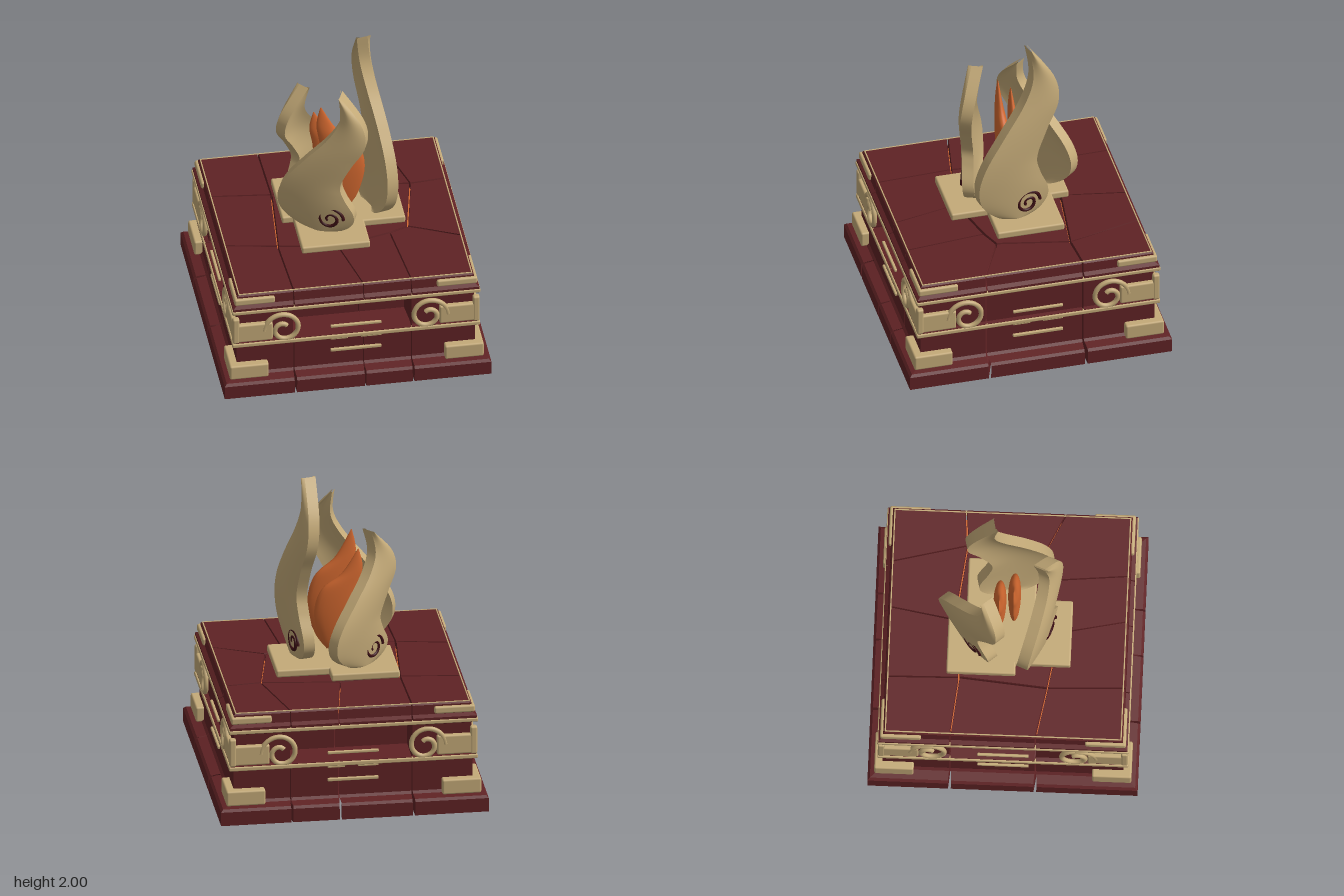
import * as THREE from 'three';
import { RoundedBoxGeometry } from 'three/addons/geometries/RoundedBoxGeometry.js';
import { ParametricGeometry } from 'three/addons/geometries/ParametricGeometry.js';

const mat = (name, color) => {
  const m = new THREE.MeshStandardMaterial({ color });
  m.name = name;
  return m;
};
const maroon = mat('maroon stone', 0x5f2224);
const tan = mat('sandstone', 0xc4aa78);
const orange = mat('ember orange', 0xd0672f);
const dark = mat('dark maroon', 0x3d0f14);

function add(parent, name, geometry, material) {
  const mesh = new THREE.Mesh(geometry, material);
  mesh.name = name;
  parent.add(mesh);
  return mesh;
}

// Rounded box given by its limits
function block(parent, name, x0, x1, y0, y1, z0, z1, material = tan, r = 0.012) {
  const g = new RoundedBoxGeometry(x1 - x0, y1 - y0, z1 - z0, 2, r);
  g.translate((x0 + x1) / 2, (y0 + y1) / 2, (z0 + z1) / 2);
  return add(parent, name, g, material);
}

// Flat spiral tube in the xy plane; side -1 mirrors it
function spiral(cx, cy, z, r0, r1, turns, tube, side = 1) {
  const pts = [];
  for (let i = 0; i <= 32; i++) {
    const t = i / 32, a = t * turns * Math.PI * 2, r = r0 + (r1 - r0) * t;
    pts.push(new THREE.Vector3(side * (cx + r * Math.cos(a)), cy + r * Math.sin(a), z));
  }
  return new THREE.TubeGeometry(new THREE.CatmullRomCurve3(pts), 64, tube, 8);
}

// Pedestal silhouette: height, half width, joint inset
const profile = [
  [0, 0.84, 0.012], [0.09, 0.84, 0.014], [0.105, 0.825, 0.014], [0.115, 0.765, 0.008],
  [0.13, 0.75, 0.006], [0.33, 0.75, 0.006], [0.335, 0.77, 0.006], [0.365, 0.77, 0.006],
  [0.37, 0.745, 0.006], [0.57, 0.745, 0.006], [0.585, 0.77, 0.006], [0.61, 0.775, 0.006],
  [0.625, 0.775, 0.008], [0.64, 0.75, 0.006], [0.70, 0.745, 0.006], [0.71, 0.735, 0.009],
];

// One cracked stone: its plan polygon clamped to the silhouette at each height
function stoneGeometry(plan, recessed) {
  const n = plan.length, pos = [], idx = [];
  const cx = plan.reduce((s, p) => s + p[0], 0) / n;
  const cz = plan.reduce((s, p) => s + p[1], 0) / n;
  for (const [y, w0, gap] of profile) {
    const w = recessed && y > 0.366 && y < 0.58 ? 0.56 : w0;
    for (const [x, z] of plan) {
      const k = gap / Math.hypot(cx - x, cz - z);
      pos.push(THREE.MathUtils.clamp(x + (cx - x) * k, -w, w), y,
        THREE.MathUtils.clamp(z + (cz - z) * k, -w, w));
    }
  }
  const top = (profile.length - 1) * n;
  for (let k = 0; k < top; k += n) {
    for (let i = 0; i < n; i++) {
      const j = (i + 1) % n;
      idx.push(k + i, k + n + i, k + n + j, k + i, k + n + j, k + j);
    }
  }
  for (let i = 1; i < n - 1; i++) idx.push(top, top + i + 1, top + i, 0, i, i + 1);
  const g = new THREE.BufferGeometry();
  g.setAttribute('position', new THREE.Float32BufferAttribute(pos, 3));
  g.setIndex(idx);
  const flat = g.toNonIndexed();
  flat.computeVertexNormals();
  return flat;
}

function buildPedestal() {
  const g = new THREE.Group();
  g.name = 'pedestal';
  const a = [-0.36, -0.29], b = [0.02, -0.33], c = [0.51, -0.27], d = [0.42, 0.18];
  const e = [0.3, 0.23], f = [-0.04, 0.32], h = [-0.41, 0.26];
  const plans = [
    [[a, b, c, d, e, f, h], false],
    [[[-1, -1], [-0.37, -1], a, [-1, -0.33]], false],
    [[[-0.37, -1], [0.09, -1], b, a], true],
    [[[0.09, -1], [0.39, -1], c, b], true],
    [[[0.39, -1], [1, -1], [1, -0.29], c], false],
    [[[1, -0.29], [1, 0.33], d, c], false],
    [[[1, 0.33], [1, 1], [0.35, 1], e, d], false],
    [[[0.35, 1], [0.05, 1], f, e], true],
    [[[0.05, 1], [-0.39, 1], h, f], true],
    [[[-0.39, 1], [-1, 1], [-1, 0.2], h], false],
    [[[-1, 0.2], [-1, -0.33], a, h], true],
  ];
  plans.forEach(([plan, recessed]) => add(g, 'crackedStone', stoneGeometry(plan, recessed), maroon));

  // Trim and ornaments, repeated on the four sides
  for (let s = 0; s < 4; s++) {
    const side = new THREE.Group();
    side.name = 'sideOrnament';
    side.rotation.y = s * Math.PI / 2;
    g.add(side);
    block(side, 'lowerTrim', -0.78, 0.78, 0.337, 0.363, 0.75, 0.78, tan, 0.006);
    block(side, 'upperTrim', -0.78, 0.78, 0.585, 0.609, 0.75, 0.782, tan, 0.006);
    block(side, 'topEdgeTrim', -0.735, 0.735, 0.704, 0.713, 0.729, 0.737, tan, 0.002);
    block(side, 'upperBar', -0.16, 0.16, 0.412, 0.43, 0.75, 0.768, tan, 0.005);
    block(side, 'lowerBar', -0.16, 0.16, 0.228, 0.248, 0.74, 0.765, tan, 0.005);
    block(side, 'shortBar', -0.16, -0.05, 0.32, 0.334, 0.74, 0.765, tan, 0.004);
    block(side, 'shortBar', 0.03, 0.16, 0.32, 0.334, 0.74, 0.765, tan, 0.004);
    for (const m of [-1, 1]) {
      const corner = (name, x0, x1, y0, y1, z0, z1) =>
        block(side, name, Math.min(m * x0, m * x1), Math.max(m * x0, m * x1), y0, y1, z0, z1);
      corner('footCorner', 0.555, 0.80, 0.11, 0.21, 0.73, 0.80);
      corner('friezeCorner', 0.525, 0.775, 0.37, 0.5, 0.72, 0.775);
      corner('friezePost', 0.735, 0.778, 0.365, 0.55, 0.735, 0.778);
      corner('topCorner', 0.51, 0.765, 0.643, 0.69, 0.72, 0.765);
      add(side, 'scroll', spiral(0.455, 0.44, 0.763, 0.125, 0.03, 1.35, 0.016, m), tan);
    }
  }
  // Glowing layer seen through the cracks
  block(g, 'emberLayer', -0.7, 0.7, 0.655, 0.662, -0.7, 0.7, orange, 0.002);
  return g;
}

const curve = (pts) => new THREE.SplineCurve(pts.map(([x, y]) => new THREE.Vector2(x, y)));

// Petal outline: left and right edges from base to tip
const petalL = curve([[-0.02, 0], [-0.14, 0.03], [-0.26, 0.13], [-0.29, 0.25], [-0.24, 0.38],
  [-0.12, 0.53], [0.03, 0.70], [0.10, 0.84], [0.085, 1]]);
const petalR = curve([[-0.02, 0], [0.1, 0.01], [0.18, 0.07], [0.19, 0.15], [0.13, 0.27],
  [0.11, 0.37], [0.18, 0.52], [0.265, 0.67], [0.24, 0.82], [0.095, 1]]);

// Curved stone petal with a domed face, hollow back and a spiral carving
function buildPetal(height) {
  const g = new THREE.Group();
  g.name = 'flamePetal';
  const surface = (fs, fn) => (u, v, target) => {
    const s = fs(u), p = petalL.getPoint(v).lerp(petalR.getPoint(v), (s + 1) / 2);
    const bow = 0.045 * Math.sin(Math.PI * p.y) - 0.03 * p.y;
    target.set(p.x, p.y * height, fn(u) + 0.022 * (1 - s * s) + bow);
  };
  const T = 0.036;
  const strips = [
    ['petalFace', (u) => 2 * u - 1, () => T, 10],
    ['petalBack', (u) => 1 - 2 * u, () => -T, 10],
    ['petalRightEdge', () => 1, (u) => T - 2 * T * u, 1],
    ['petalLeftEdge', () => -1, (u) => -T + 2 * T * u, 1],
  ];
  for (const [name, fs, fn, n] of strips) {
    const geo = new ParametricGeometry(surface(fs, fn), n, 56);
    geo.computeVertexNormals();
    add(g, name, geo, tan);
  }
  add(g, 'spiralCarving', spiral(0.045, 0.115, 0.062, 0.085, 0.018, 1.6, 0.011), dark);
  return g;
}

// Lens-shaped inner flame
const emberL = curve([[0.05, 0], [-0.06, 0.17], [-0.1, 0.34], [-0.11, 0.52], [-0.13, 0.67], [-0.105, 0.8]]);
const emberR = curve([[0.05, 0], [0.13, 0.12], [0.175, 0.32], [0.13, 0.5], [0, 0.62], [-0.1, 0.8]]);
function emberGeometry() {
  const g = new ParametricGeometry((u, v, target) => {
    const a = u * Math.PI * 2, s = (1 - Math.cos(a)) / 2;
    const p = emberL.getPoint(v).lerp(emberR.getPoint(v), s);
    target.set(p.x, p.y, 0.04 * Math.sin(a) * Math.sin(Math.PI * Math.pow(v, 0.9)));
  }, 20, 32);
  g.computeVertexNormals();
  return g;
}

export function createModel() {
  const model = new THREE.Group();
  model.name = 'flameMonument';
  model.add(buildPedestal());

  // Three overlapping slabs under the petals
  for (const [x, z] of [[-0.135, -0.155], [0.195, -0.045], [-0.065, 0.185]]) {
    block(model, 'petalSlab', x - 0.215, x + 0.215, 0.73, 0.78, z - 0.215, z + 0.215);
  }

  // Petals: x, z, height, direction the face looks
  for (const [x, z, height, nx, nz] of [
    [-0.10, 0.19, 1.01, -0.37, 0.93],
    [0.225, 0, 1.23, 0.97, -0.22],
    [-0.13, -0.2, 0.87, -0.65, -0.76],
  ]) {
    const petal = buildPetal(height);
    petal.position.set(x, 0.77, z);
    petal.rotation.y = Math.atan2(nx, nz);
    model.add(petal);
  }

  // Two inner flames
  add(model, 'innerFlame', emberGeometry(), orange).position.set(0, 0.78, 0.04);
  const small = add(model, 'innerFlame', emberGeometry(), orange);
  small.position.set(-0.03, 0.78, -0.05);
  small.scale.y = 0.88;
  return model;
}
